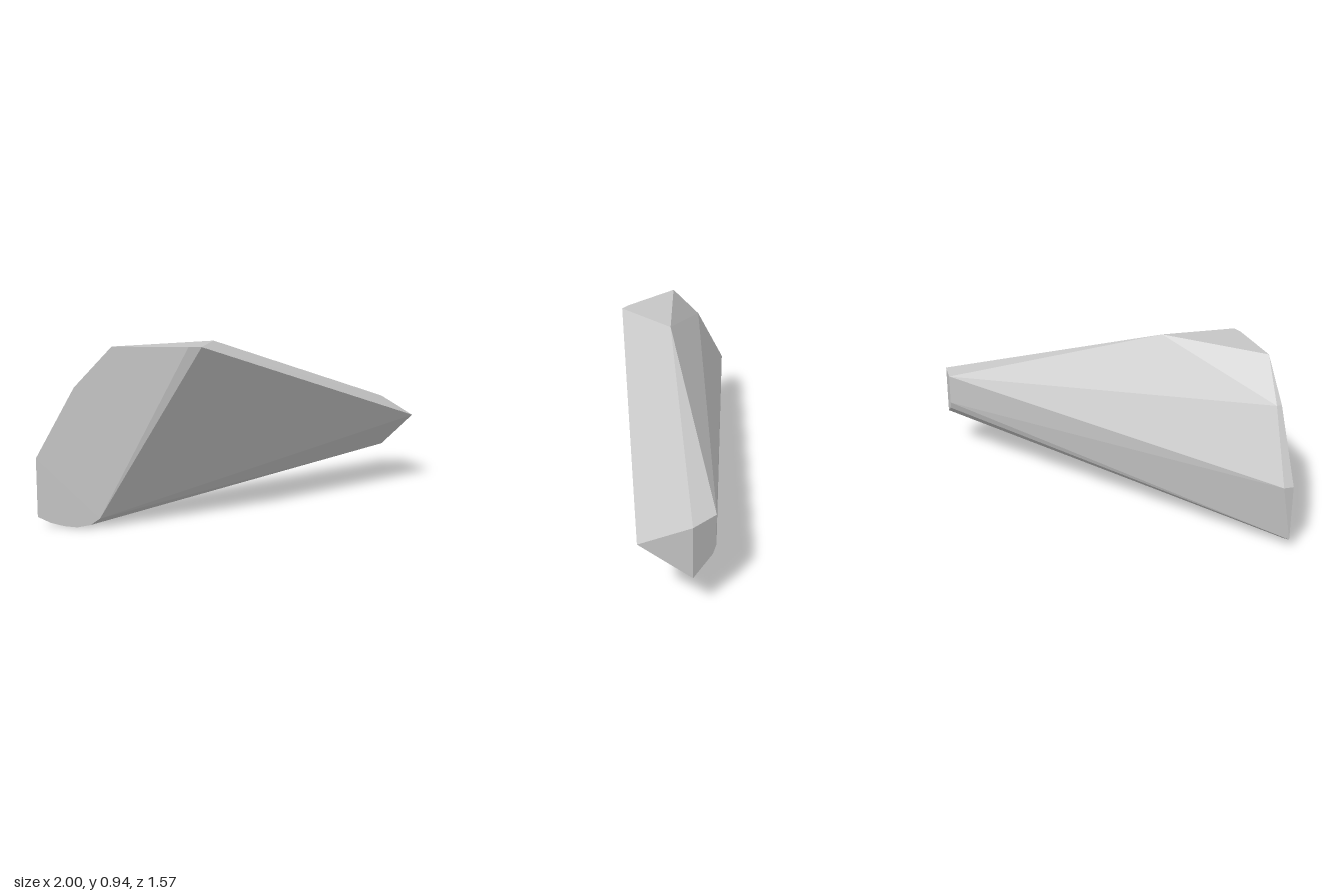
import * as THREE from 'three';
import { ConvexGeometry } from 'three/addons/geometries/ConvexGeometry.js';

export function createModel() {
  const group = new THREE.Group();
  group.name = 'shard';
  const grey = new THREE.MeshStandardMaterial({ color: 0xc5c5c5 });
  grey.name = 'pale stone grey';

  const section = (z, outline) => outline.map(([x, y]) => new THREE.Vector3(x, y, z));

  // Flat front face with a rounded foot
  const front = section(0.783, [
    [-1, 0.36], [-1, 0.05], [-0.93, 0.02], [-0.86, 0.005], [-0.79, 0], [-0.72, 0.015],
    [-0.67, 0.05], [-0.2, 0.94], [-0.59, 0.94], [-0.79, 0.73],
  ]);
  // Narrow bevel behind the front face's left edge, tapering to its lower corner
  const bevel = [
    new THREE.Vector3(-1, 0.36, 0.73),
    new THREE.Vector3(-0.79, 0.73, 0.755),
  ];
  // Top plateau and the pointed corner on the long side
  const ridge = [
    new THREE.Vector3(-0.135, 0.94, 0.77),
    new THREE.Vector3(-0.135, 0.94, 0.34),
    new THREE.Vector3(1, 0.41, -0.59),
    new THREE.Vector3(0.81, 0.225, -0.58),
  ];
  // Small far end
  const back = section(-0.783, [
    [0.645, 0.505], [0.81, 0.505], [0.81, 0.21], [0.67, 0.285], [0.645, 0.33],
  ]);

  const body = new THREE.Mesh(new ConvexGeometry([...front, ...bevel, ...ridge, ...back]), grey);
  body.name = 'shardBody';
  group.add(body);
  return group;
}
